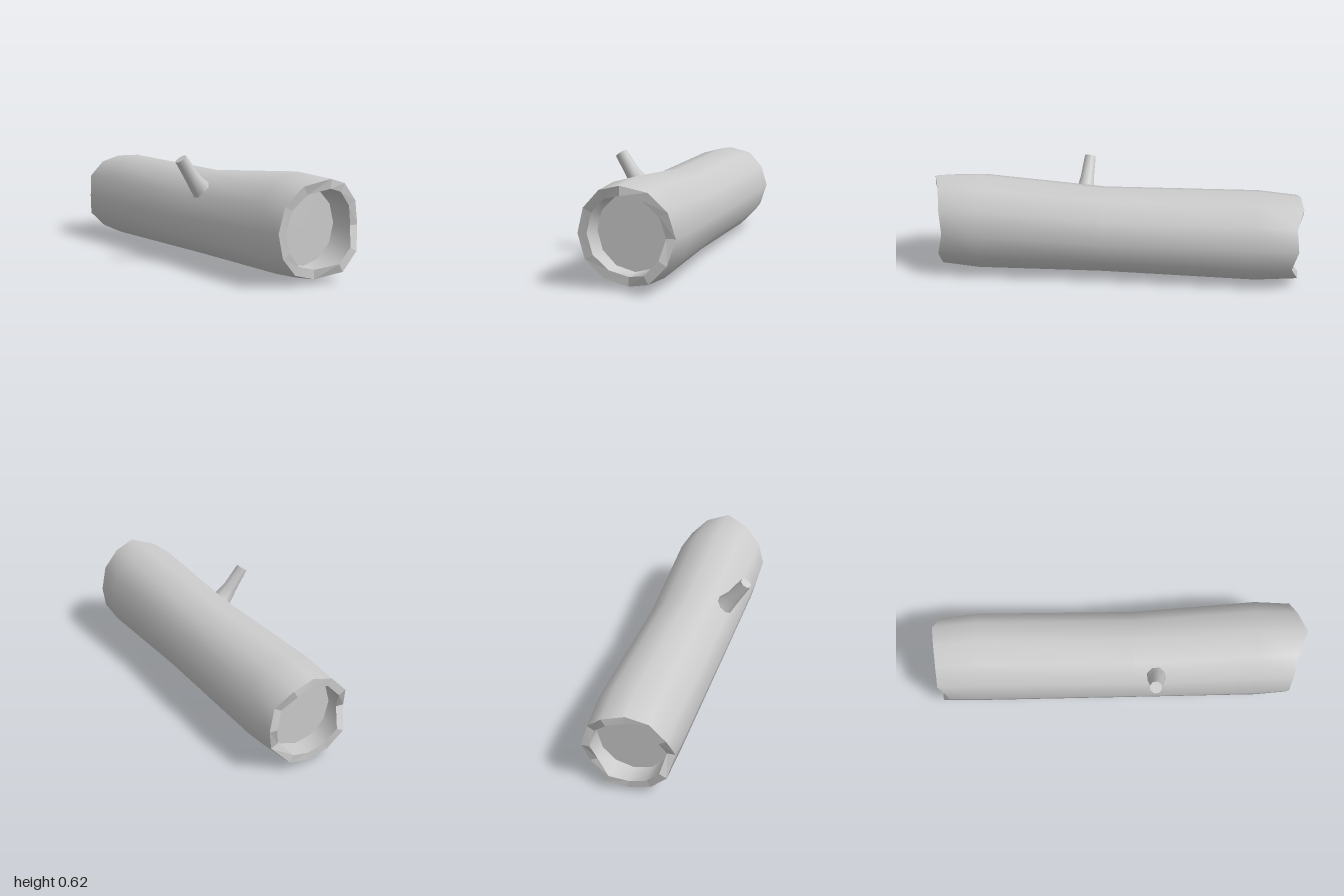
import * as THREE from 'three';

const SIDES = 12;
const material = new THREE.MeshStandardMaterial({ color: 0xcccccc });

// Skin a list of closed rings; flat splits the vertices so every facet is hard.
function loft(name, rings, flat = false) {
  const n = rings[0].length;
  const index = [];
  for (let i = 0; i < rings.length - 1; i++) {
    for (let j = 0; j < n; j++) {
      const a = i * n + j, b = a + n;
      const c = i * n + (j + 1) % n, d = c + n;
      index.push(a, b, c, b, d, c);
    }
  }
  let geometry = new THREE.BufferGeometry().setFromPoints(rings.flat());
  geometry.setIndex(index);
  if (flat) geometry = geometry.toNonIndexed();
  geometry.computeVertexNormals();
  const mesh = new THREE.Mesh(geometry, material);
  mesh.name = name;
  return mesh;
}

// Ring around the log axis (local x); t is one position or one per side.
function logRing(t, y, z, ry, rz) {
  return Array.from({ length: SIDES }, (_, j) => {
    const a = (j / SIDES) * Math.PI * 2;
    return new THREE.Vector3(
      Array.isArray(t) ? t[j] : t, y + ry * Math.cos(a), z - rz * Math.sin(a));
  });
}

const centreRing = (ring) => {
  const c = ring.reduce((s, p) => s.add(p), new THREE.Vector3()).divideScalar(ring.length);
  return ring.map(() => c.clone());
};

function createLog() {
  const log = new THREE.Group();
  log.name = 'log';

  // Ragged ends, listed from the top round the back
  const tail = [-1.04, -1.055, -1.02, -1.033, -1.0, -1.04, -1.02, -1.02, -1.03, -0.975, -1.03, -1.03];
  const head = [1.09, 1.046, 1.024, 1.005, 1.04, 1.043, 0.97, 0.976, 0.994, 1.0, 1.008, 1.034];

  // Bark
  const bark = [
    logRing(tail, 0.268, -0.002, 0.243, 0.246),
    logRing(-0.8, 0.271, -0.007, 0.264, 0.258),
    logRing(0.1, 0.269, 0.007, 0.251, 0.256),
    logRing(0.82, 0.295, 0.002, 0.282, 0.275),
    logRing(head, 0.298, 0.006, 0.267, 0.262),
  ];
  log.add(loft('bark', bark));

  // Each end: cut rim, short hollow, and the flat wood closing it
  const ends = [
    { name: 'tail', outer: bark[0], inner: logRing(tail, 0.268, -0.002, 0.2, 0.2),
      floor: logRing(-0.91, 0.27, -0.004, 0.2, 0.2), flip: true },
    { name: 'head', outer: bark[4], inner: logRing(head, 0.298, 0.006, 0.217, 0.212),
      floor: logRing(0.876, 0.295, 0.003, 0.21, 0.206), flip: false },
  ];
  for (const { name, outer, inner, floor, flip } of ends) {
    const order = (...rings) => (flip ? rings.reverse() : rings);
    log.add(loft(name + 'Rim', order(outer, inner), true));
    log.add(loft(name + 'Hollow', order(inner, floor)));
    log.add(loft(name + 'Core', order(floor, centreRing(floor)), true));
  }

  log.rotation.y = -0.576;
  return log;
}

// Tapering, bent stub of a branch
function createBranch() {
  const path = [
    [0.095, 0.37, 0.235, 0.07],
    [0.085, 0.425, 0.285, 0.058],
    [0.05, 0.495, 0.33, 0.043],
    [0, 0.61, 0.388, 0.035],
  ];
  const points = path.map(([x, y, z]) => new THREE.Vector3(x, y, z));
  const rings = path.map(([, , , r], i) => {
    const tangent = points[Math.min(i + 1, 3)].clone().sub(points[Math.max(i - 1, 0)]).normalize();
    const u = new THREE.Vector3(1, 0, 0).addScaledVector(tangent, -tangent.x).normalize();
    const v = u.clone().cross(tangent);
    return Array.from({ length: 8 }, (_, j) => {
      const a = (j / 8) * Math.PI * 2;
      return points[i].clone()
        .addScaledVector(u, r * Math.cos(a))
        .addScaledVector(v, r * Math.sin(a));
    });
  });
  const branch = new THREE.Group();
  branch.name = 'branch';
  branch.add(loft('branchBark', rings));
  branch.add(loft('branchTip', [rings[3], centreRing(rings[3])], true));
  return branch;
}

export function createModel() {
  const model = new THREE.Group();
  model.name = 'hollowLog';
  model.add(createLog(), createBranch());
  return model;
}
